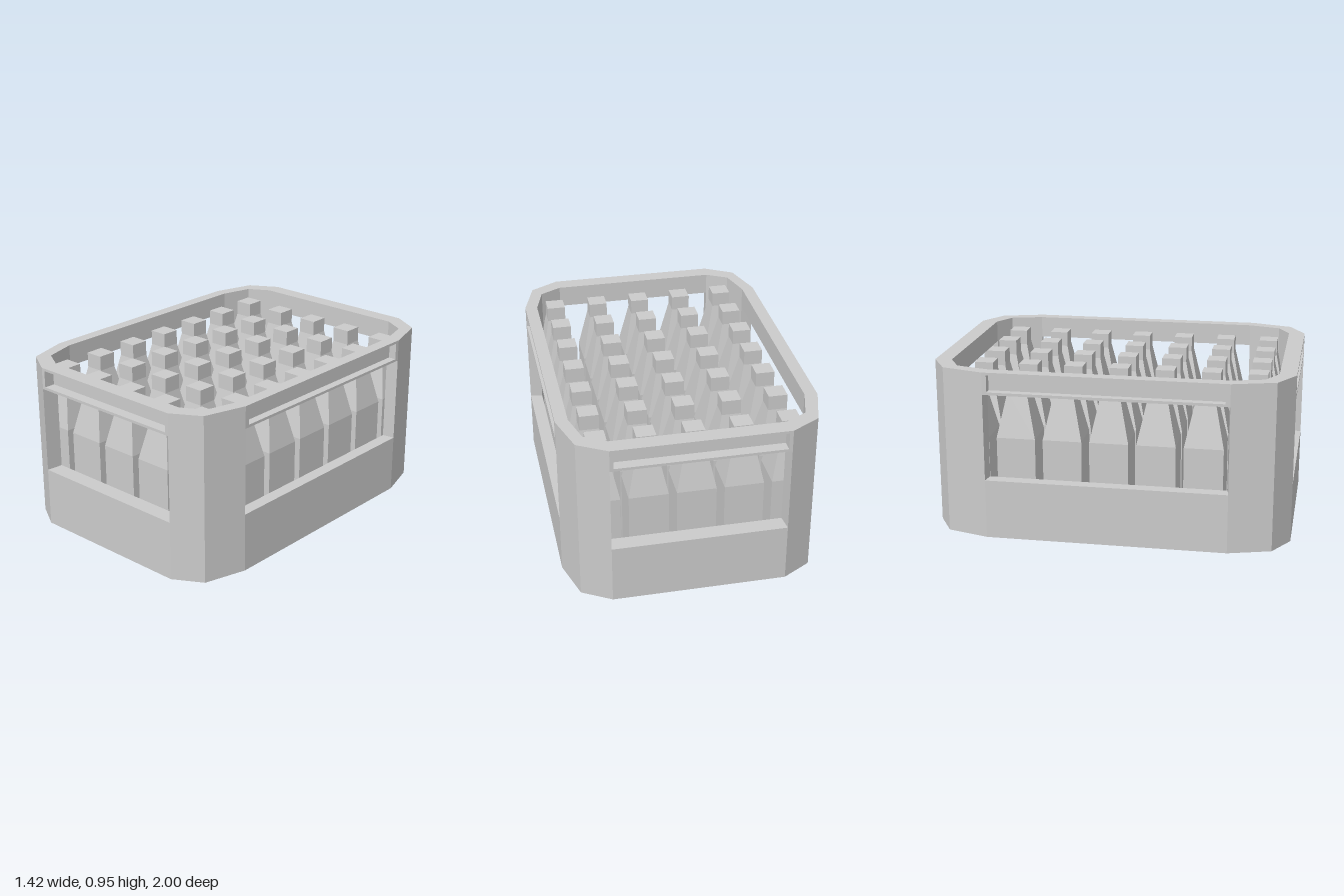
import * as THREE from 'three';

const HEIGHT = 0.95, SILL = 0.335, LINTEL = 0.825;
const material = new THREE.MeshStandardMaterial({ color: 0xcccccc, flatShading: true });

// One quarter of the outer and inner plan outlines, as [x, z]
const OUTER = [[0.48, 1], [0.64, 0.907], [0.71, 0.67]];
const INNER = [[0.64, 0.66], [0.59, 0.84], [0.47, 0.907]];

function mesh(geometry, name) {
  const m = new THREE.Mesh(geometry, material);
  m.name = name;
  return m;
}

// Extrude a plan polygon straight up from y = 0
function prism(points, height) {
  const shape = new THREE.Shape(points.map(([x, z]) => new THREE.Vector2(x, -z)));
  return new THREE.ExtrudeGeometry(shape, { depth: height, bevelEnabled: false }).rotateX(-Math.PI / 2);
}

function rectangle(target, halfWidth, y0, y1) {
  target.moveTo(-halfWidth, y0);
  target.lineTo(halfWidth, y0);
  target.lineTo(halfWidth, y1);
  target.lineTo(-halfWidth, y1);
  target.closePath();
  return target;
}

// Straight wall facing +z: solid base, open window, rail with a recessed panel
function wall(half, face, thickness, recess, panelHalf) {
  const group = new THREE.Group();

  const base = mesh(new THREE.BoxGeometry(half * 2, SILL, thickness), 'wallBase');
  base.position.set(0, SILL / 2, face - thickness / 2);

  const frameShape = rectangle(new THREE.Shape(), half, LINTEL, HEIGHT);
  frameShape.holes.push(rectangle(new THREE.Path(), panelHalf, 0.84, 0.935));
  const frame = mesh(new THREE.ExtrudeGeometry(frameShape, { depth: recess, bevelEnabled: false }), 'railFrame');
  frame.position.z = face - recess;

  const backing = thickness - recess;
  const rail = mesh(new THREE.BoxGeometry(half * 2, HEIGHT - LINTEL, backing), 'railBack');
  rail.position.set(0, (HEIGHT + LINTEL) / 2, face - thickness + backing / 2);

  group.add(base, frame, rail);
  return group;
}

// Square bottle with sloped shoulders and a straight neck
function bottleGeometry() {
  const profile = [[0, 0.05], [0.108, 0.05], [0.108, 0.56], [0.053, 0.815], [0.053, 0.9], [0, 0.9]];
  const points = profile.map(([r, y]) => new THREE.Vector2(r * Math.SQRT2, y));
  return new THREE.LatheGeometry(points, 4).rotateY(Math.PI / 4);
}

export function createModel() {
  const model = new THREE.Group();
  model.name = 'bottleCrate';

  // Faceted corner posts
  for (const sx of [-1, 1]) {
    for (const sz of [-1, 1]) {
      const plan = [...OUTER, ...INNER].map(([x, z]) => [x * sx, z * sz]);
      model.add(mesh(prism(plan, HEIGHT), 'cornerPost'));
    }
  }

  // Four walls between the posts
  ['frontWall', 'leftWall', 'backWall', 'rightWall'].forEach((name, i) => {
    const side = i % 2 ? wall(0.67, 0.71, 0.07, 0.045, 0.645) : wall(0.48, 1, 0.093, 0.062, 0.46);
    side.name = name;
    side.rotation.y = i * Math.PI / 2;
    model.add(side);
  });

  // Floor inside the walls
  const back = [...INNER].reverse();
  const floorPlan = [
    ...INNER,
    ...back.map(([x, z]) => [-x, z]),
    ...INNER.map(([x, z]) => [-x, -z]),
    ...back.map(([x, z]) => [x, -z]),
  ];
  model.add(mesh(prism(floorPlan, 0.06), 'floor'));

  // Five by seven bottles
  const bottles = new THREE.Group();
  bottles.name = 'bottles';
  const geometry = bottleGeometry();
  for (let i = -2; i <= 2; i++) {
    for (let j = -3; j <= 3; j++) {
      const bottle = mesh(geometry, 'bottle');
      bottle.position.set(i * 0.26 - 0.004, 0, j * 0.259 + 0.008);
      bottles.add(bottle);
    }
  }
  model.add(bottles);

  return model;
}
